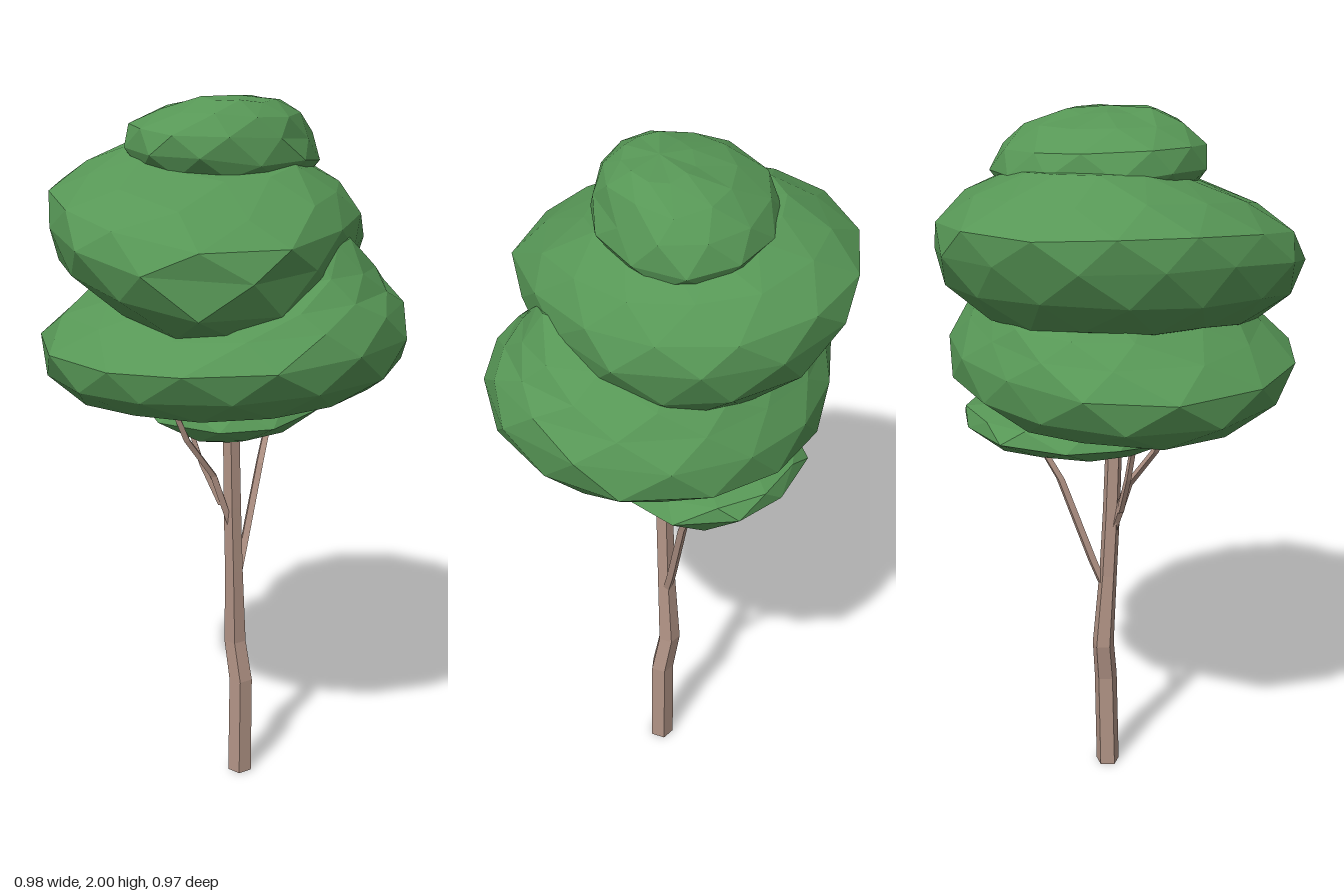
import * as THREE from 'three';

const leafMat = new THREE.MeshStandardMaterial({ color: 0x579756, flatShading: true });
const barkMat = new THREE.MeshStandardMaterial({ color: 0xb29486, flatShading: true });

// Corner directions for shaping the clumps
const FRONT_LEFT = Math.PI / 4;
const FRONT_RIGHT = Math.PI * 0.75;
const BACK_RIGHT = Math.PI * 1.25;
const BACK_LEFT = Math.PI * 1.75;

// Small seeded generator returning -1..1
function seeded(seed) {
  let s = seed;
  return () => {
    s = (s * 16807) % 2147483647;
    return (s / 2147483647) * 2 - 1;
  };
}

// Closed skin over horizontal elliptical rings [y, cx, cz, rx, rz], listed bottom to top.
// stagger: turn per ring in steps; rough: relative jitter; tiltX / tiltZ: slope of the rings;
// bulges: [direction, extra relative radius, lift]
function loft(rings, { sides, stagger = 0, rough = 0, tiltX = 0, tiltZ = 0, bulges = [], cap = 0, seed = 1 }) {
  const rand = seeded(seed * 7919);
  const pos = [];
  const index = [];
  rings.forEach(([y, cx, cz, rx, rz], r) => {
    for (let i = 0; i < sides; i++) {
      const a = ((i + r * stagger + rand() * rough * 3) / sides) * Math.PI * 2;
      let k = 1 + rand() * rough;
      let dy = rand() * rough * 0.25;
      for (const [dir, grow, lift] of bulges) {
        const w = Math.max(0, Math.cos(a - dir)) ** 4;
        k += grow * w;
        dy += lift * w;
      }
      const x = Math.cos(a) * rx * k;
      const z = Math.sin(a) * rz * k;
      pos.push(cx + x, y + x * tiltX + z * tiltZ + dy, cz + z);
    }
  });
  const last = rings.length - 1;
  for (let r = 0; r < last; r++) {
    for (let i = 0; i < sides; i++) {
      const j = (i + 1) % sides;
      const a = r * sides + i, b = r * sides + j;
      const c = a + sides, d = b + sides;
      index.push(a, c, b, b, c, d);
    }
  }
  // End caps
  const bottom = pos.length / 3;
  pos.push(rings[0][1], rings[0][0] - cap, rings[0][2]);
  pos.push(rings[last][1], rings[last][0] + cap, rings[last][2]);
  for (let i = 0; i < sides; i++) {
    const j = (i + 1) % sides;
    index.push(bottom, i, j, bottom + 1, last * sides + j, last * sides + i);
  }
  const geo = new THREE.BufferGeometry();
  geo.setAttribute('position', new THREE.Float32BufferAttribute(pos, 3));
  geo.setIndex(index);
  geo.computeVertexNormals();
  return geo;
}

export function createModel() {
  const tree = new THREE.Group();
  tree.name = 'tree';
  const add = (name, geo, mat) => {
    const mesh = new THREE.Mesh(geo, mat);
    mesh.name = name;
    tree.add(mesh);
  };

  // Trunk and branches: points [x, y, z, radius]
  const limb = (name, points, sides) =>
    add(name, loft(points.map(([x, y, z, r]) => [y, x, z, r, r]), { sides }), barkMat);
  limb('trunk', [
    [0.031, 0, 0.033, 0.036], [0.036, 0.3, 0.032, 0.035], [0.036, 0.42, 0.01, 0.033],
    [0.022, 0.65, 0.016, 0.027], [0.012, 0.85, 0.018, 0.026], [0.002, 1.15, 0.02, 0.024],
  ], 5);
  limb('leftBranch', [
    [0.035, 0.61, 0.015, 0.014], [0.068, 0.69, 0.01, 0.014],
    [0.16, 0.94, 0.0, 0.013], [0.24, 1.09, -0.02, 0.011],
  ], 4);
  limb('rightBranch', [
    [0.008, 0.79, 0.015, 0.013], [-0.045, 0.95, -0.005, 0.013],
    [-0.13, 1.07, -0.03, 0.012], [-0.19, 1.2, -0.04, 0.01],
  ], 4);
  limb('rightTwig', [
    [-0.02, 0.86, 0.0, 0.011], [-0.055, 0.98, -0.04, 0.01], [-0.085, 1.12, -0.07, 0.009],
  ], 4);

  // Foliage clumps, bottom to top
  add('lowerFoliage', loft([
    [1.06, 0.1, -0.04, 0.13, 0.11],
    [1.085, 0.12, -0.07, 0.24, 0.19],
    [1.135, 0.12, -0.09, 0.305, 0.265],
    [1.18, 0.13, -0.1, 0.275, 0.23],
    [1.21, 0.12, -0.1, 0.14, 0.12],
  ], {
    sides: 10, stagger: 0.5, rough: 0.03, tiltX: 0.04, tiltZ: -0.08, cap: 0.008, seed: 3,
    bulges: [[BACK_RIGHT, -0.12, 0], [BACK_LEFT, -0.1, 0]],
  }), leafMat);

  add('wideFoliage', loft([
    [1.18, 0, 0, 0.24, 0.26],
    [1.215, 0, 0.01, 0.39, 0.39],
    [1.28, 0, 0.005, 0.475, 0.46],
    [1.365, 0, 0.01, 0.49, 0.475],
    [1.435, 0.02, 0.02, 0.42, 0.455],
    [1.49, 0.035, 0.03, 0.35, 0.41],
    [1.55, 0.05, 0.08, 0.24, 0.32],
    [1.63, 0.05, 0.14, 0.14, 0.21],
  ], {
    sides: 13, stagger: 0.5, rough: 0.025, tiltX: 0.03, tiltZ: 0.02, cap: 0.02, seed: 8,
    bulges: [[FRONT_LEFT, 0.05, 0], [BACK_RIGHT, 0.07, 0], [BACK_LEFT, -0.11, 0]],
  }), leafMat);

  add('upperFoliage', loft([
    [1.43, -0.02, -0.01, 0.22, 0.22],
    [1.465, -0.005, -0.04, 0.35, 0.315],
    [1.545, -0.01, -0.06, 0.44, 0.38],
    [1.64, -0.01, -0.067, 0.465, 0.415],
    [1.715, -0.005, -0.067, 0.445, 0.415],
    [1.785, 0.01, -0.055, 0.36, 0.345],
    [1.845, 0.02, -0.05, 0.23, 0.24],
  ], {
    sides: 13, stagger: 0.5, rough: 0.025, tiltX: -0.025, tiltZ: -0.085, cap: 0.02, seed: 5,
    bulges: [[FRONT_RIGHT, 0.2, -0.04], [BACK_RIGHT, -0.03, 0]],
  }), leafMat);

  add('topFoliage', loft([
    [1.79, 0.035, -0.035, 0.265, 0.21],
    [1.84, 0.035, -0.035, 0.3, 0.245],
    [1.9, 0.03, -0.03, 0.28, 0.22],
    [1.955, 0.03, 0.0, 0.22, 0.165],
    [1.985, 0.02, 0.03, 0.13, 0.09],
  ], {
    sides: 11, stagger: 0.5, rough: 0.03, tiltX: -0.05, tiltZ: -0.05, cap: 0.01, seed: 11,
    bulges: [[BACK_LEFT, -0.08, 0]],
  }), leafMat);

  return tree;
}
